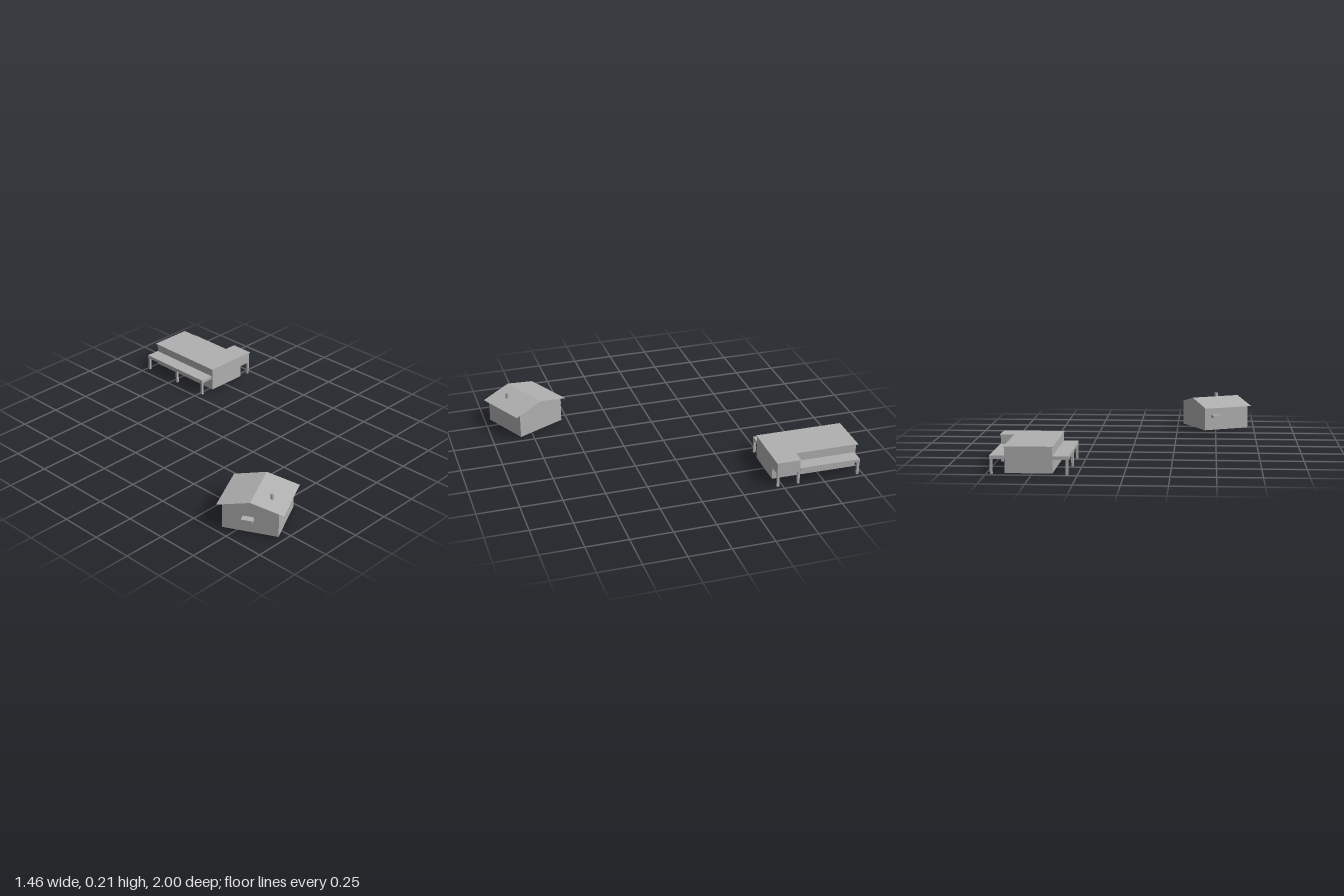
import * as THREE from 'three';

export function createModel() {
  const model = new THREE.Group();
  const grey = new THREE.MeshStandardMaterial({ color: 0xb0b0b0, side: THREE.DoubleSide });
  grey.name = 'plain grey';

  function add(parent, name, geometry, x = 0, y = 0, z = 0) {
    const mesh = new THREE.Mesh(geometry, grey);
    mesh.name = name;
    mesh.position.set(x, y, z);
    parent.add(mesh);
    return mesh;
  }
  // Solid block given by its limits
  function block(parent, name, x0, x1, y0, y1, z0, z1) {
    return add(parent, name, new THREE.BoxGeometry(x1 - x0, y1 - y0, z1 - z0),
      (x0 + x1) / 2, (y0 + y1) / 2, (z0 + z1) / 2);
  }
  // Four walls without floor or ceiling
  function walls(parent, name, x0, x1, y0, y1, z0, z1) {
    const mesh = block(parent, name, x0, x1, y0, y1, z0, z1);
    const index = Array.from(mesh.geometry.index.array);
    mesh.geometry.setIndex([...index.slice(0, 12), ...index.slice(24)]);
    mesh.geometry.clearGroups();
  }

  // ---- Gabled cottage, turned on the plot ----
  const cottage = new THREE.Group();
  cottage.name = 'cottage';
  cottage.position.set(-0.497, 0, 0.754);
  cottage.rotation.y = 0.464;
  model.add(cottage);

  const W = 0.156, D = 0.161, ridge = 0.203, eave = 0.154, roofD = 0.192;
  const roofY = (z) => ridge - (ridge - eave) * Math.abs(z) / roofD;
  const wallTop = roofY(D) - 0.001;
  walls(cottage, 'cottageWalls', -W, W, 0.008, wallTop, -D, D);

  // Gable triangles
  const gable = new THREE.Shape([
    new THREE.Vector2(-D, wallTop), new THREE.Vector2(D, wallTop), new THREE.Vector2(0, ridge - 0.001)]);
  for (const side of [-1, 1]) {
    add(cottage, 'gable', new THREE.ShapeGeometry(gable), side * W).rotation.y = side * Math.PI / 2;
  }

  // Folded thin roof
  let roof = new THREE.PlaneGeometry(0.332, roofD * 2, 1, 2).rotateX(-Math.PI / 2);
  const p = roof.attributes.position;
  for (let i = 0; i < p.count; i++) p.setY(i, roofY(p.getZ(i)));
  roof = roof.toNonIndexed();
  roof.computeVertexNormals();
  add(cottage, 'cottageRoof', roof);

  add(cottage, 'chimney', new THREE.CylinderGeometry(0.011, 0.011, 0.042, 12), -0.053, 0.191, 0.093);
  block(cottage, 'sideWallBox', -0.197, -W, 0.09, 0.107, -0.042, 0.022);
  block(cottage, 'backWallBox', 0.048, 0.112, 0.09, 0.107, -0.198, -D);

  // ---- Flat-roofed hall, axes measured from its own centre ----
  const hall = new THREE.Group();
  hall.name = 'hall';
  hall.position.set(0.512, 0, -0.73);
  hall.rotation.y = -0.01;
  model.add(hall);

  walls(hall, 'hallWalls', -0.13, 0.131, 0.008, 0.151, -0.256, 0.265);
  walls(hall, 'carportWalls', 0.131, 0.213, 0.083, 0.151, 0.125, 0.265);

  // L-shaped roof slab
  const L = [[-0.135, -0.268], [0.135, -0.268], [0.135, 0.122], [0.217, 0.122], [0.217, 0.269], [-0.135, 0.269]];
  const slab = new THREE.ExtrudeGeometry(
    new THREE.Shape(L.map(([x, z]) => new THREE.Vector2(x, -z))), { depth: 0.006, bevelEnabled: false });
  add(hall, 'hallRoof', slab.rotateX(-Math.PI / 2), 0, 0.151);

  // Low porch roofs along both sides
  block(hall, 'rightPorchRoof', -0.217, -0.13, 0.083, 0.103, -0.258, 0.258);
  block(hall, 'leftPorchRoof', 0.131, 0.216, 0.083, 0.103, -0.248, 0.125);

  // Posts
  const posts = [[-0.209, -0.25], [-0.209, 0.015], [-0.209, 0.25], [0.206, -0.24], [0.206, 0.132], [0.206, 0.257]];
  for (const [x, z] of posts) {
    block(hall, 'post', x - 0.007, x + 0.007, 0, 0.083, z - 0.007, z + 0.007);
  }
  return model;
}
